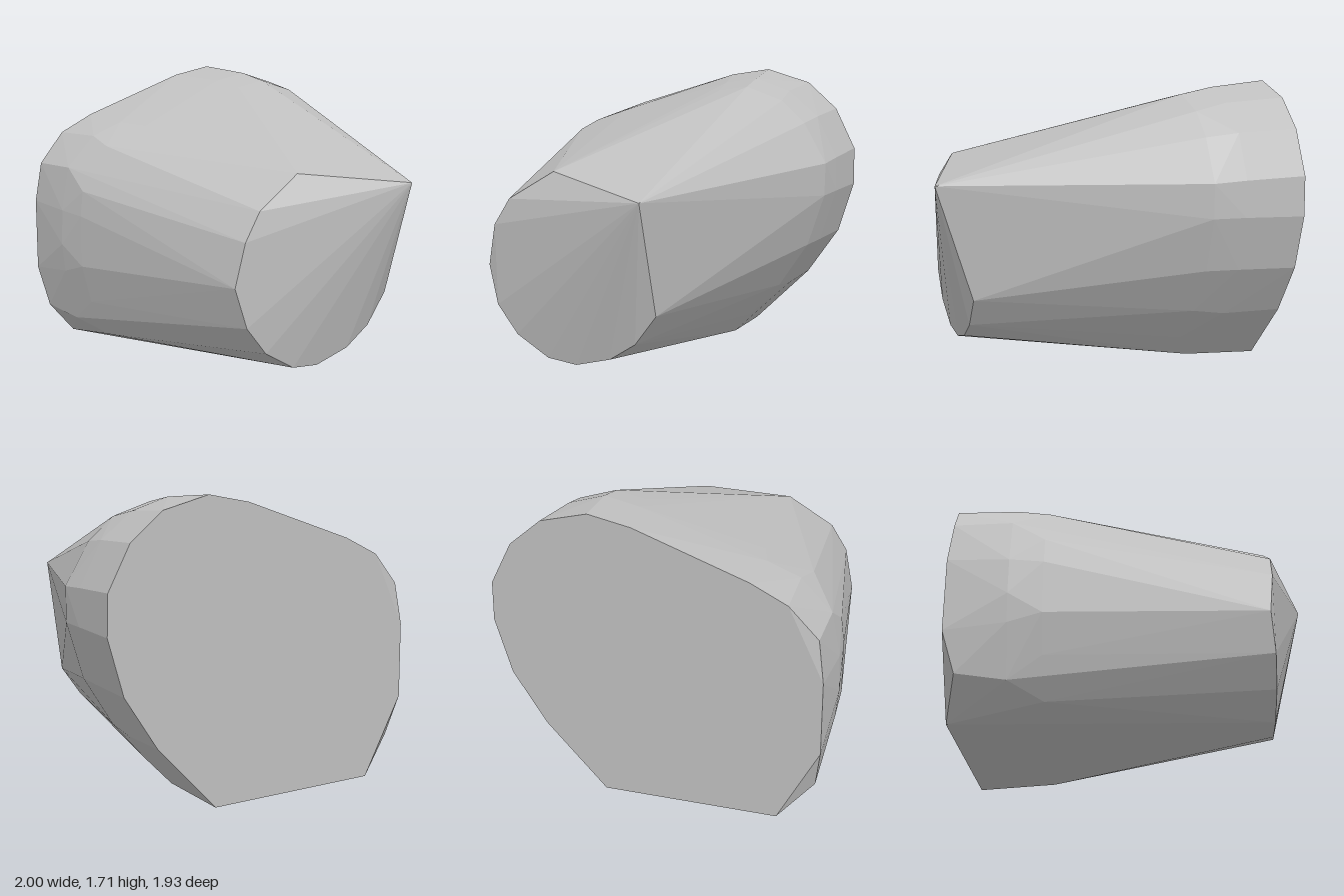
import * as THREE from 'three';
import { ConvexGeometry } from 'three/addons/geometries/ConvexGeometry.js';

// Each cross-section is a list of [y, z] or [y, z, x offset] corners at a given x.
const ring = (x, corners) =>
  corners.map(([y, z, dx = 0]) => new THREE.Vector3(x + dx, y, z));

export function createModel() {
  const group = new THREE.Group();
  const stone = new THREE.MeshStandardMaterial({ color: 0xbfbfbf });
  stone.name = 'plain grey';

  // wide flat end
  const base = ring(-1, [
    [1.705, -0.36], [1.66, -0.11], [1.44, 0.55], [1.34, 0.76],
    [1.16, 0.925, 0.02], [0.92, 0.96], [0.49, 0.96], [0.25, 0.92, 0.07],
    [0.035, 0.72], [0, -0.31], [0.37, -0.67], [0.67, -0.87],
    [0.99, -0.965], [1.22, -0.96], [1.47, -0.83], [1.63, -0.64],
  ]);

  // rounded shoulder, two rings
  const shoulder = ring(-0.65, [
    [1.68, -0.41], [1.64, -0.2], [1.42, 0.54], [1.35, 0.73],
    [1.17, 0.91], [0.91, 0.96], [0.7, 0.968], [0.53, 0.95],
    [0.22, 0.88], [0.03, -0.33, 0.1], [0.37, -0.66], [0.68, -0.86],
    [1, -0.955], [1.21, -0.95], [1.46, -0.82], [1.61, -0.63],
  ]);
  const waist = ring(-0.46, [
    [1.645, -0.42], [1.61, -0.23], [1.41, 0.47], [1.31, 0.75],
    [1.05, 0.92], [0.9, 0.938], [0.59, 0.938], [0.36, 0.88],
    [0.135, 0.76], [0.18, -0.46], [0.4, -0.66], [0.68, -0.84],
    [1, -0.94], [1.2, -0.942], [1.44, -0.8], [1.57, -0.65],
  ]);

  // narrow end with one drawn-out corner
  const narrowEnd = ring(0.8, [
    [1.255, 0.26, -0.03], [1.08, 0.54], [0.92, 0.64, 0.005], [0.67, 0.695, -0.015],
    [0.44, 0.63, 0.005], [0.275, 0.5, 0.005], [0.155, 0.3, -0.005], [0.135, 0.12, -0.015],
    [0.2, -0.1, -0.01], [0.31, -0.26, -0.01], [0.49, -0.39, -0.01], [1.17, -0.39, 0.2],
  ]);

  const body = new THREE.Mesh(
    new ConvexGeometry([...base, ...shoulder, ...waist, ...narrowEnd]), stone);
  body.name = 'facetedBody';
  group.add(body);
  return group;
}
